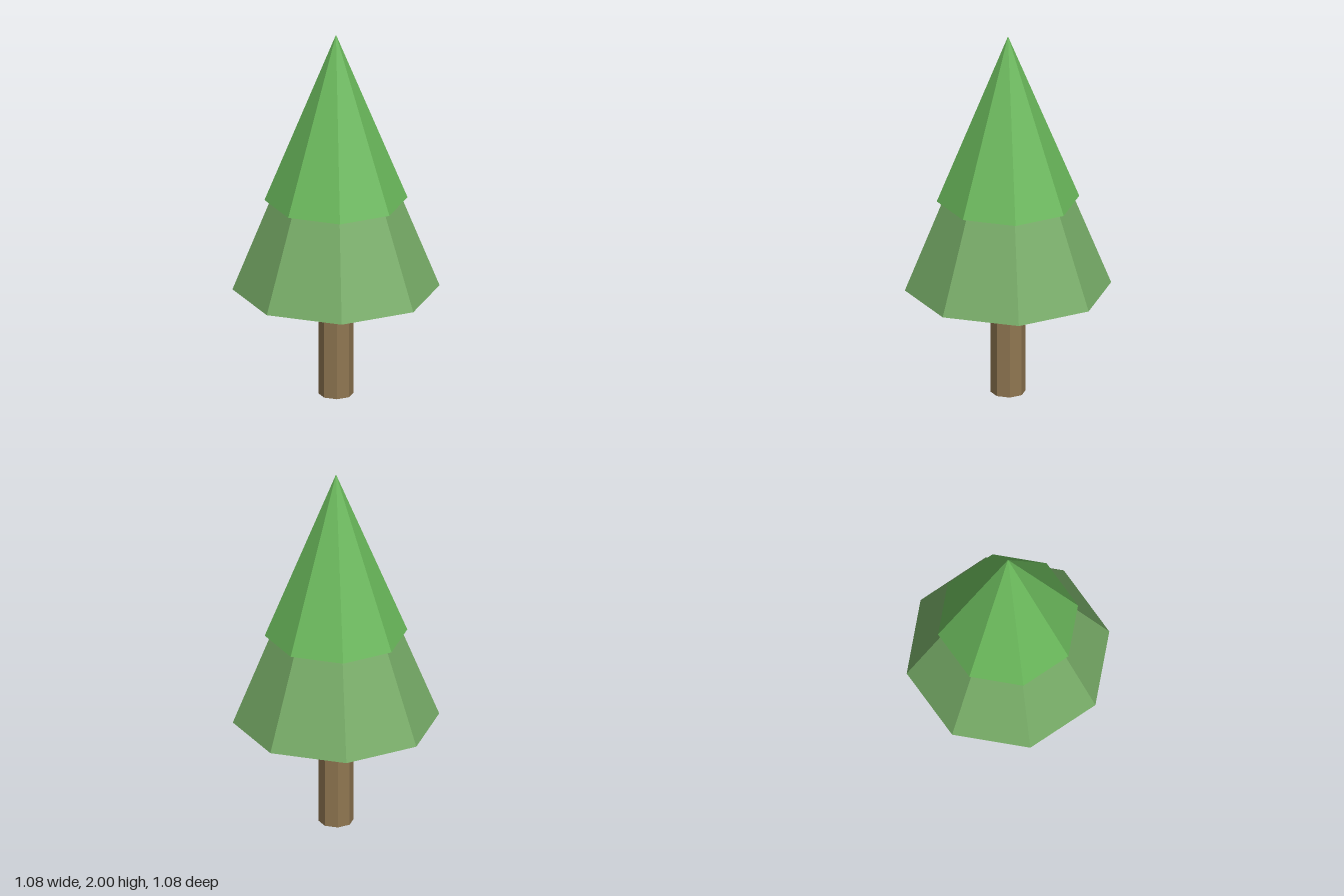
import * as THREE from 'three';

const SIDES = 8;

export function createModel() {
  const tree = new THREE.Group();
  tree.name = 'tree';

  // Adds a faceted part whose base sits at the given height
  function addPart(name, geometry, height, baseY, color) {
    const material = new THREE.MeshStandardMaterial({ color, flatShading: true });
    const mesh = new THREE.Mesh(geometry, material);
    mesh.name = name;
    mesh.position.y = baseY + height / 2;
    tree.add(mesh);
  }

  // Trunk, ending just inside the foliage
  addPart('trunk', new THREE.CylinderGeometry(0.092, 0.092, 0.6, SIDES), 0.6, 0, 0x8f7651);

  // Two overlapping foliage cones
  addPart('lowerFoliage', new THREE.ConeGeometry(0.54, 1.35, SIDES), 1.35, 0.59, 0x77ac67);
  addPart('upperFoliage', new THREE.ConeGeometry(0.373, 0.915, SIDES), 0.915, 1.085, 0x6ab85b);

  return tree;
}
